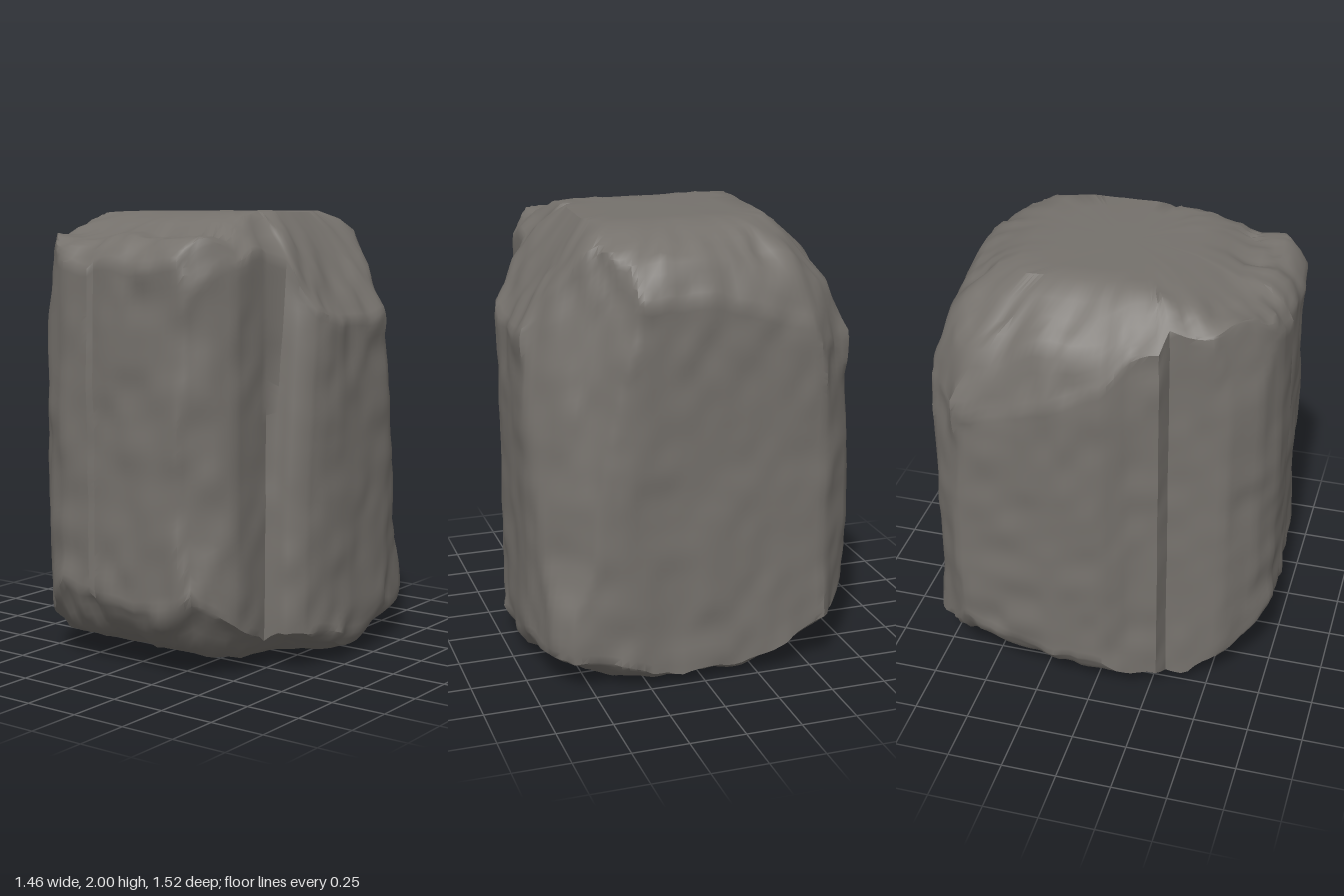
import * as THREE from 'three';
import { toCreasedNormals } from 'three/addons/utils/BufferGeometryUtils.js';

// Plan outline (x, z), with a narrower block standing out at the front
const OUTLINE = [
  [-0.725, -0.62], [-0.68, -0.69], [-0.55, -0.755], [0.0, -0.755], [0.35, -0.75], [0.62, -0.70], [0.67, -0.6],
  [0.715, -0.42], [0.715, 0.0], [0.70, 0.13], [0.68, 0.22], [0.63, 0.28], [0.53, 0.30], [0.525, 0.52],
  [0.43, 0.71], [0.2, 0.735], [-0.08, 0.735], [-0.1, 0.755], [-0.25, 0.745], [-0.38, 0.69],
  [-0.5, 0.56], [-0.53, 0.31], [-0.61, 0.285], [-0.63, 0.17], [-0.70, 0.05], [-0.725, -0.1],
];

// Height rules: each is a list of [coordinate, height]
const TOP_X = [[-0.73, 1.57], [-0.62, 1.8], [-0.48, 1.94], [-0.42, 2], [0.39, 2], [0.5, 1.87], [0.6, 1.72], [0.72, 1.53]];
const TOP_Z = [[-0.76, 1.71], [-0.68, 1.86], [-0.55, 1.95], [-0.42, 2], [0.22, 2], [0.41, 1.945], [0.46, 1.905], [0.62, 1.89], [0.69, 1.84], [0.75, 1.75]];
const BASE_X = [[-0.73, 0.22], [-0.66, 0.12], [-0.5, 0.06], [-0.22, 0], [0.5, 0], [0.68, 0.05], [0.72, 0.12]];
const BASE_Z = [[-0.76, 0.06], [-0.7, 0.02], [-0.6, 0], [0.2, 0], [0.4, 0.05], [0.6, 0.14], [0.69, 0.22], [0.75, 0.34]];

// Corner cuts: signs of x and z, then [height, furthest reach along the diagonal]
const CUTS = [
  [1, -1, [[0.05, 0.93], [0.35, 0.91], [0.6, 0.86], [1.1, 0.83], [1.4, 0.79], [1.65, 0.74], [1.9, 0.69]]],
  [-1, -1, [[0.1, 0.94], [1, 0.93], [1.5, 0.9], [1.9, 0.76]]],
  [1, 1, [[0.3, 0.8], [0.6, 0.76], [1.1, 0.765], [1.7, 0.79], [1.9, 0.72]]],
  [-1, 1, [[0.3, 0.74], [0.6, 0.76], [1.6, 0.75], [1.9, 0.7]]],
];

function ramp(table, v) {
  if (v <= table[0][0]) return table[0][1];
  for (let i = 1; i < table.length; i++) {
    const [a, ya] = table[i - 1], [b, yb] = table[i];
    if (v <= b) return ya + (yb - ya) * (v - a) / (b - a);
  }
  return table[table.length - 1][1];
}

// Smooth seeded value noise, from -1 to 1
function hash(x, y, z) {
  let h = (x * 374761393 + y * 668265263 + z * 1274126177) | 0;
  h = Math.imul(h ^ (h >>> 13), 1103515245);
  return ((h ^ (h >>> 16)) >>> 0) / 2147483648 - 1;
}
function noise(x, y, z) {
  const ix = Math.floor(x), iy = Math.floor(y), iz = Math.floor(z);
  const s = (t) => t * t * (3 - 2 * t), mix = THREE.MathUtils.lerp;
  const fx = s(x - ix), fy = s(y - iy), fz = s(z - iz);
  const row = (j, k) => mix(hash(ix, iy + j, iz + k), hash(ix + 1, iy + j, iz + k), fx);
  return mix(mix(row(0, 0), row(1, 0), fy), mix(row(0, 1), row(1, 1), fy), fz);
}

const { smoothstep, clamp } = THREE.MathUtils;

// The top rounds over towards the sides, more so at its back left corner
const topHeight = (x, z) => 2 - Math.hypot(2 - ramp(TOP_X, x), 2 - ramp(TOP_Z, z))
  - 0.4 * Math.max(0, -(x + z) * Math.SQRT1_2 - 0.55);

// The base lifts at its corners, with an undercut below the front of the left side
const baseHeight = (x, z) => Math.hypot(ramp(BASE_X, x), ramp(BASE_Z, z))
  + 0.5 * Math.max(0, (Math.abs(x) + Math.abs(z)) * Math.SQRT1_2 - 0.65)
  + 0.12 * smoothstep(x, 0.3, 0.58) * smoothstep(z, -0.15, 0.25);

// Split the outline into short steps, keeping its corners
function denseOutline(step) {
  const out = [];
  OUTLINE.forEach(([x, z], i) => {
    const [nx, nz] = OUTLINE[(i + 1) % OUTLINE.length];
    const n = Math.max(1, Math.round(Math.hypot(nx - x, nz - z) / step));
    for (let k = 0; k < n; k++) out.push([x + (nx - x) * k / n, z + (nz - z) * k / n]);
  });
  return out;
}

// Place one surface point: s is the reach from the middle, t the way up
function rockPoint(ox, oz, s, t) {
  let x = ox * s, z = oz * s;
  const low = baseHeight(x, z), high = topHeight(x, z);
  let y = low + (high - low) * t;
  // The side shoulder steps back from the front block as it rises
  if (ox > 0.53 && oz > 0) z *= 1 - 0.3 * t * t;
  for (const [sx, sz, limits] of CUTS) {
    const limit = ramp(limits, y) + 0.012 * noise(x * 4 + 5, y * 4, z * 4);
    const over = Math.max(0, (sx * x + sz * z) * Math.SQRT1_2 - limit) * Math.SQRT1_2;
    x -= sx * over;
    z -= sz * over;
  }
  // Long flutes on the wall, with chips near its two ends
  const edge = smoothstep(s, 0.45, 0.85);
  const ends = Math.pow(Math.abs(2 * t - 1), 5);
  const flute = 0.009 * noise(ox * 6, y * 2, oz * 6);
  const chip = (0.008 + 0.012 * ends) * noise(ox * 11 + 7, y * 8, oz * 11);
  const push = 1 + edge * (flute + chip - 0.004) / 0.75;
  // Broken ledges around the rims, nearly flat in the middle
  const rough = 0.025 * noise(x * 8, 3.5, z * 8) + 0.018 * noise(x * 17, 8.5, z * 17);
  y += rough * edge * ends + 0.01 * noise(x * 3, 1.5, z * 3) * ends;
  return [x * push, clamp(y, 0, 2), z * push];
}

function rockGeometry() {
  const outline = denseOutline(0.035), n = outline.length;
  // Rings run from the middle of the base, up the wall, to the middle of the top
  const rings = [];
  const cap = [0, 0.2, 0.4, 0.55, 0.66, 0.74, 0.8, 0.85, 0.89, 0.925, 0.955, 0.98];
  cap.forEach((s) => rings.push([s, 0]));
  for (let i = 0; i <= 44; i++) rings.push([1, i / 44]);
  [...cap].reverse().forEach((s) => rings.push([s, 1]));

  const positions = [], index = [];
  for (const [s, t] of rings) {
    for (const [ox, oz] of outline) positions.push(...rockPoint(ox, oz, s, t));
  }
  // The first and last rings are single points, so they need one triangle a step
  for (let i = 0; i < rings.length - 1; i++) {
    for (let j = 0; j < n; j++) {
      const a = i * n + j, b = i * n + (j + 1) % n, c = a + n, d = b + n;
      if (i > 0) index.push(a, c, b);
      if (i < rings.length - 2) index.push(b, c, d);
    }
  }
  const geometry = new THREE.BufferGeometry();
  geometry.setAttribute('position', new THREE.Float32BufferAttribute(positions, 3));
  geometry.setIndex(index);
  return toCreasedNormals(geometry, 0.75);
}

export function createModel() {
  const stone = new THREE.MeshStandardMaterial({ color: 0x75716c });
  stone.name = 'greyStone';
  const boulder = new THREE.Mesh(rockGeometry(), stone);
  boulder.name = 'boulder';
  const group = new THREE.Group();
  group.name = 'rock';
  group.add(boulder);
  return group;
}
